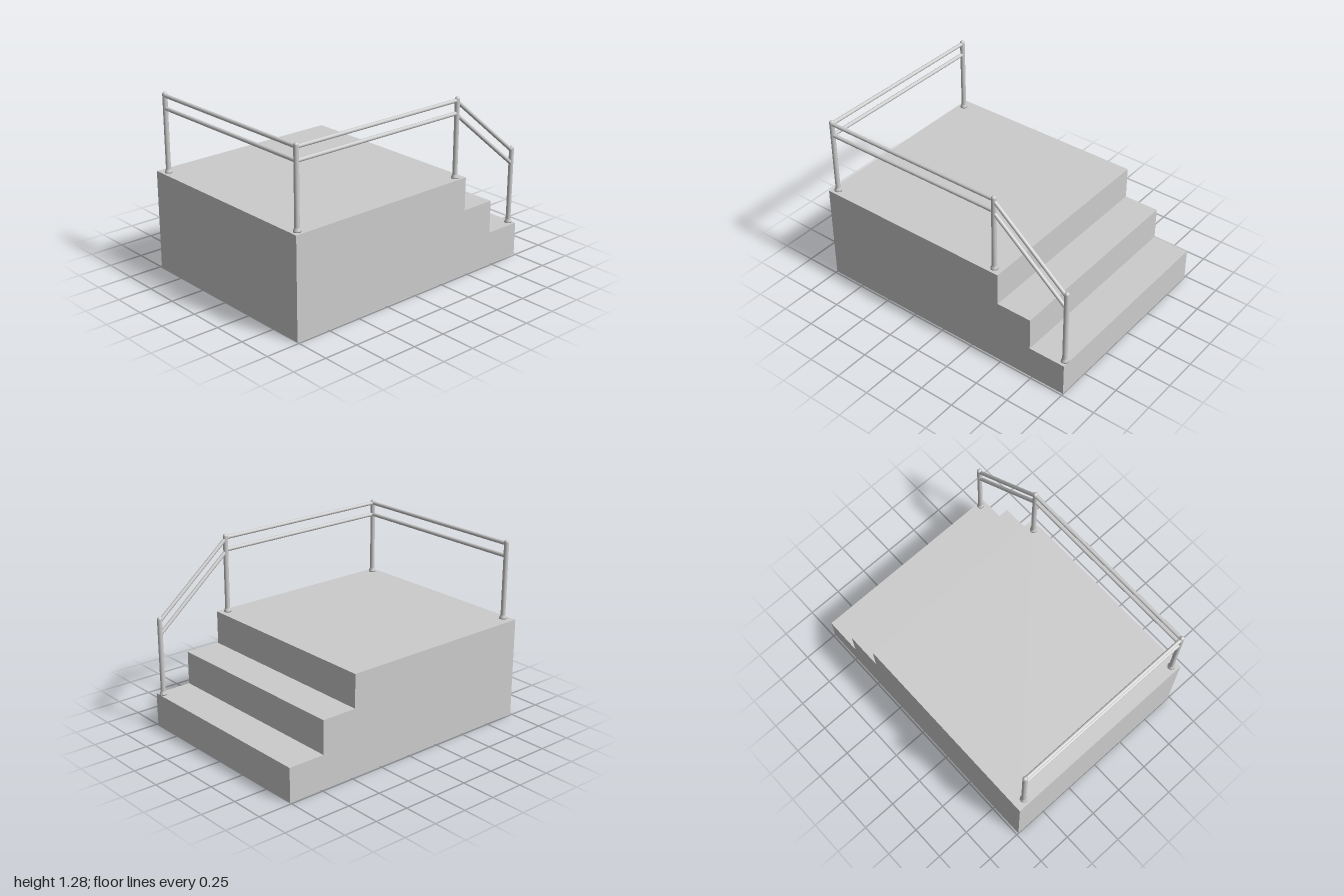
import * as THREE from 'three';

const material = new THREE.MeshStandardMaterial({ color: 0xcccccc });

function add(parent, geometry, name) {
  const mesh = new THREE.Mesh(geometry, material);
  mesh.name = name;
  parent.add(mesh);
  return mesh;
}

// Post with a flared foot and a domed top, as one turned profile
function addPost(parent, name, x, y, z, top) {
  const r = 0.017, h = top - y;
  const profile = [[0, 0], [0.026, 0], [0.025, 0.008], [0.019, 0.022], [r, 0.03]];
  for (let i = 0; i <= 5; i++) {
    const a = (i / 5) * Math.PI / 2;
    profile.push([i === 5 ? 0 : r * Math.cos(a), h - r + r * Math.sin(a)]);
  }
  const points = profile.map(([px, py]) => new THREE.Vector2(px, py));
  add(parent, new THREE.LatheGeometry(points, 20), name).position.set(x, y, z);
}

// Round bar between two points
function addRail(parent, name, from, to) {
  const a = new THREE.Vector3(...from), b = new THREE.Vector3(...to);
  const dir = b.clone().sub(a);
  const rail = add(parent, new THREE.CylinderGeometry(0.0135, 0.0135, dir.length(), 16), name);
  rail.position.copy(a).add(b).multiplyScalar(0.5);
  rail.quaternion.setFromUnitVectors(new THREE.Vector3(0, 1, 0), dir.normalize());
}

export function createModel() {
  const model = new THREE.Group();
  model.name = 'platformWithSteps';

  // Solid platform and steps: side profile extruded through the depth
  const depth = 1.47, deck = 0.715, tread = 0.24;
  const outline = [[-1, 0], [1, 0], [1, tread], [0.73, tread], [0.73, 0.478],
    [0.47, 0.478], [0.47, deck], [-1, deck]];
  const shape = new THREE.Shape(outline.map(([x, y]) => new THREE.Vector2(x, y)));
  const body = new THREE.ExtrudeGeometry(shape, { depth, bevelEnabled: false });
  add(model, body.translate(0, 0, -depth / 2), 'platform');

  const railing = new THREE.Group();
  railing.name = 'railing';
  model.add(railing);
  const xRight = -0.955, xStair = 0.41, xLow = 0.974, zFront = 0.69, zBack = -0.66;

  // Posts
  addPost(railing, 'backPost', xRight, deck, zBack, 1.282);
  addPost(railing, 'cornerPost', xRight, deck, zFront, 1.282);
  addPost(railing, 'stairTopPost', xStair, deck, zFront, 1.282);
  addPost(railing, 'stairBottomPost', xLow, tread, zFront, 0.81);

  // Upper and lower rails: side, front and sloping along the steps
  for (const [name, y, ySlope, yEnd] of [['upper', 1.255, 1.247, 0.777], ['lower', 1.167, 1.155, 0.682]]) {
    addRail(railing, name + 'SideRail', [xRight, y, zBack], [xRight, y, zFront]);
    addRail(railing, name + 'FrontRail', [xRight, y, zFront], [xStair, y, zFront]);
    addRail(railing, name + 'StairRail', [xStair, ySlope, zFront], [xLow, yEnd, zFront]);
  }
  return model;
}
